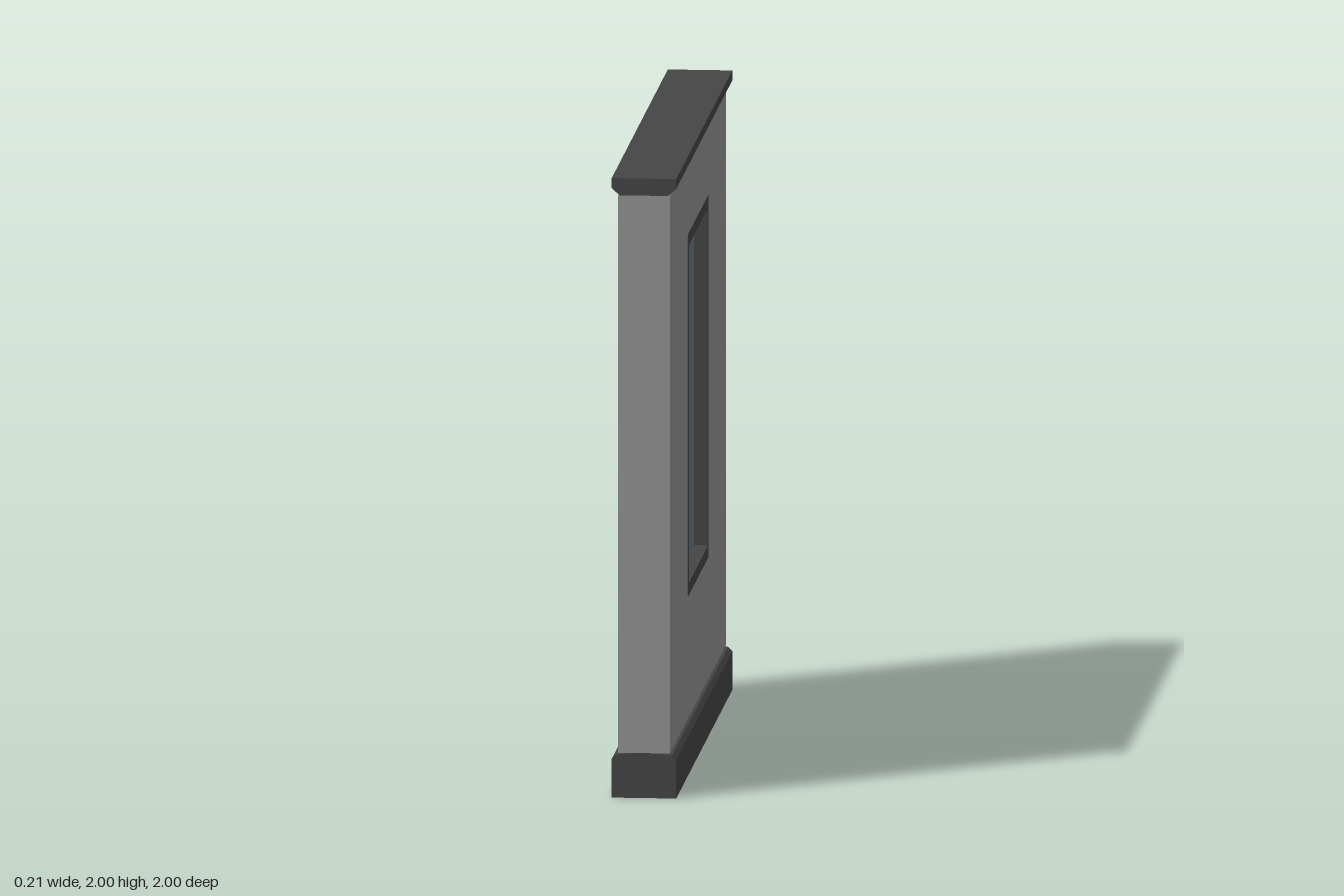
import * as THREE from 'three';

const flat = (name, color) => {
  const m = new THREE.MeshStandardMaterial({ color });
  m.name = name;
  return m;
};

// Closed shape from a list of corners
const polygon = (points) => new THREE.Shape(points.map(([x, y]) => new THREE.Vector2(x, y)));

// Rectangle with clipped corners, half width w, from y0 to y1
const panel = (w, y0, y1, c) => polygon([
  [-w + c, y0], [w - c, y0], [w, y0 + c], [w, y1 - c],
  [w - c, y1], [-w + c, y1], [-w, y1 - c], [-w, y0 + c],
]);

// Extrude centred on its depth
const extrude = (shape, depth) =>
  new THREE.ExtrudeGeometry(shape, { depth, bevelEnabled: false }).translate(0, 0, -depth / 2);

// Mirror a half profile (listed bottom to top) across x = 0
const mirrored = (half) => polygon([...half, ...half.map(([x, y]) => [-x, y]).reverse()]);

export function createModel() {
  const wallGrey = flat('wall grey', 0x939393);
  const trimGrey = flat('dark trim', 0x454545);
  const glassBlue = flat('glass blue', 0x68758f);

  const group = new THREE.Group();
  const add = (name, geometry, material) => {
    const mesh = new THREE.Mesh(geometry, material);
    mesh.name = name;
    group.add(mesh);
  };

  const wallHalf = 0.083, trimHalf = 0.103, length = 2;
  const plinthTop = 0.145, capBottom = 1.945;

  // Wall slab with the window opening cut through it
  const wallShape = polygon([[-1, plinthTop], [1, plinthTop], [1, capBottom], [-1, capBottom]]);
  wallShape.holes.push(panel(0.37, 0.54, 1.71, 0.012));
  add('wall', extrude(wallShape, wallHalf * 2).rotateY(Math.PI / 2), wallGrey);

  // Window frame lining the opening
  const frameShape = panel(0.37, 0.54, 1.71, 0.012);
  frameShape.holes.push(panel(0.33, 0.58, 1.67, 0.004));
  add('windowFrame', extrude(frameShape, wallHalf * 2 + 0.002).rotateY(Math.PI / 2), trimGrey);

  // Pane recessed on both sides
  add('windowPane', new THREE.BoxGeometry(0.08, 1.09, 0.66).translate(0, 1.125, 0), glassBlue);

  // Skirting along the floor, chamfered at the top
  const plinth = mirrored([
    [trimHalf, 0], [trimHalf, 0.125], [0.09, 0.139], [0.03, plinthTop],
  ]);
  add('skirting', extrude(plinth, length), trimGrey);

  // Cap along the top, chamfered underneath
  const cap = mirrored([
    [wallHalf - 0.005, capBottom], [trimHalf, 1.968], [trimHalf, 2],
  ]);
  add('cap', extrude(cap, length), trimGrey);

  return group;
}
